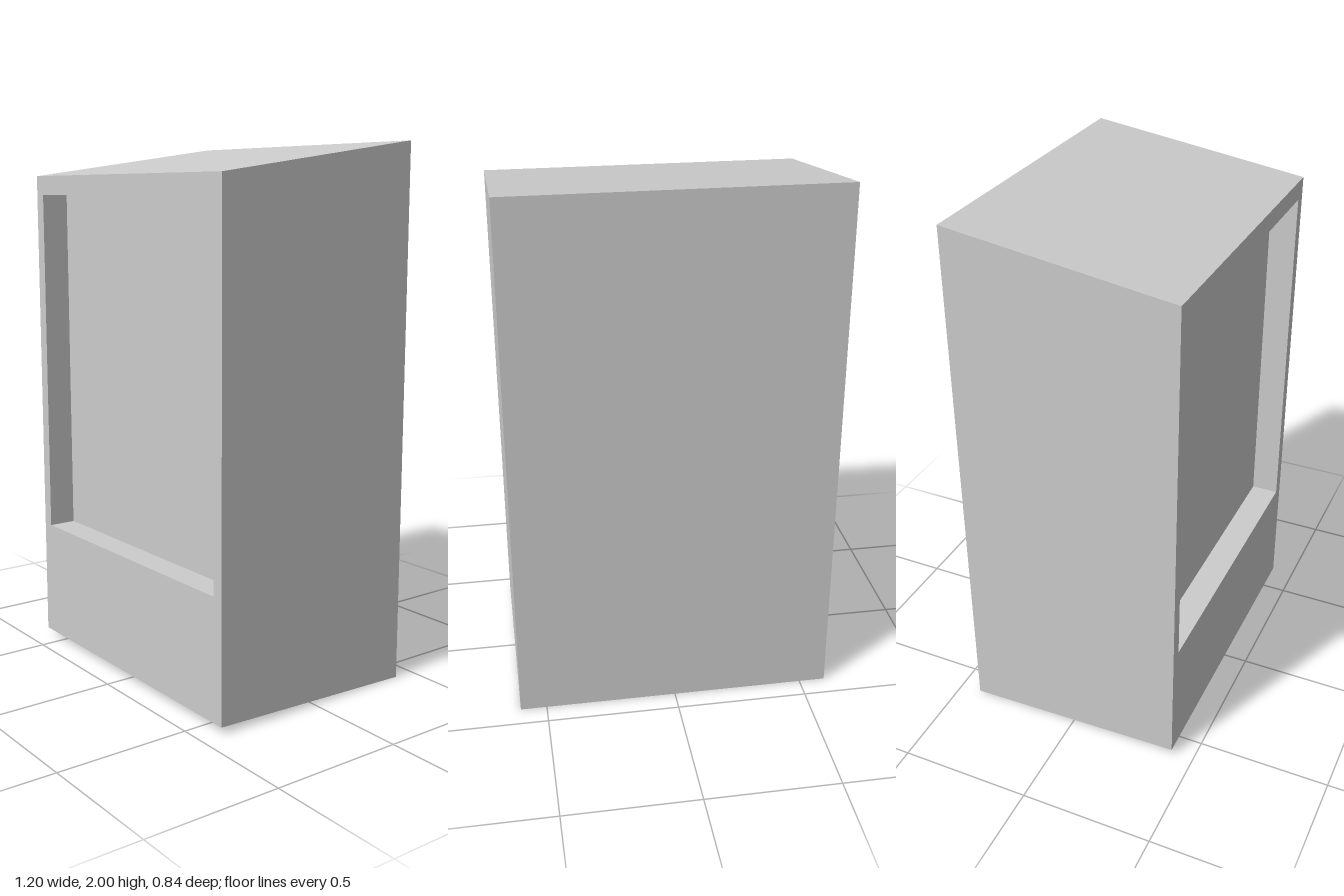
import * as THREE from 'three';

const W = 1.2, D = 0.836, ZF = D / 2;           // cabinet width, depth, front plane
const BACK = [0, 2], FRONT = [0.027, 1.883];    // bottom and top heights at back and front
const HOLE = { x: 0.554, y0: 0.48, y1: 1.81, depth: 0.105 };

// Box without its front (+z) face; optionally turned inside out
function openBox(w, h, d, inward = false) {
  const geo = new THREE.BoxGeometry(w, h, d);
  let index = Array.from(geo.index.array);
  index.splice(24, 6);
  if (inward) index.reverse();
  geo.setIndex(index);
  geo.clearGroups();
  return geo;
}

function rectangle(path, x, y0, y1) {
  path.moveTo(-x, y0).lineTo(x, y0).lineTo(x, y1).lineTo(-x, y1).closePath();
  return path;
}

export function createModel() {
  const group = new THREE.Group();
  group.name = 'displayCabinet';
  const material = new THREE.MeshStandardMaterial({ color: 0xcccccc, flatShading: true });
  const add = (name, geo) => {
    const mesh = new THREE.Mesh(geo, material);
    mesh.name = name;
    group.add(mesh);
    return mesh;
  };

  // Outer shell: roof slopes down and floor slopes up towards the front
  const shell = openBox(W, 2, D);
  const pos = shell.attributes.position;
  for (let i = 0; i < pos.count; i++) {
    const ends = pos.getZ(i) > 0 ? FRONT : BACK;
    pos.setY(i, ends[pos.getY(i) > 0 ? 1 : 0]);
  }
  shell.computeVertexNormals();
  add('cabinetShell', shell);

  // Front face around the window opening
  const face = rectangle(new THREE.Shape(), W / 2, ...FRONT);
  face.holes.push(rectangle(new THREE.Path(), HOLE.x, HOLE.y0, HOLE.y1));
  add('frontFrame', new THREE.ShapeGeometry(face)).position.z = ZF;

  // Recessed window: four reveals and the back panel
  const recess = openBox(HOLE.x * 2, HOLE.y1 - HOLE.y0, HOLE.depth, true);
  recess.computeVertexNormals();
  add('windowRecess', recess).position.set(0, (HOLE.y0 + HOLE.y1) / 2, ZF - HOLE.depth / 2);

  return group;
}
